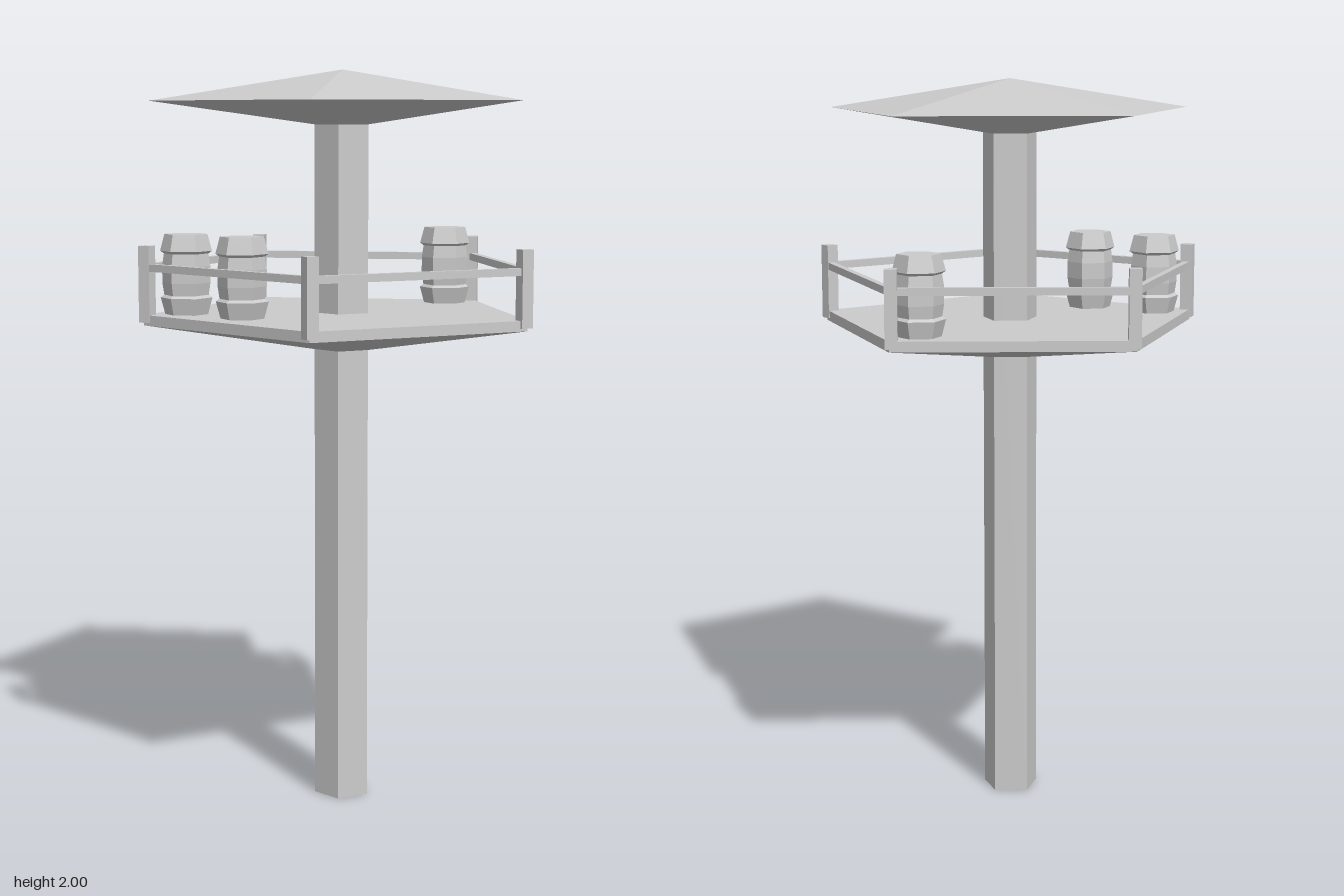
import * as THREE from 'three';

const SIDES = 5;
const STEP = (Math.PI * 2) / SIDES;
const POST_R = 0.53;

const grey = new THREE.MeshStandardMaterial({ color: 0xcccccc, flatShading: true });

function addMesh(parent, name, geometry) {
  const mesh = new THREE.Mesh(geometry, grey);
  mesh.name = name;
  parent.add(mesh);
  return mesh;
}

// Faceted solid of revolution; profile is [radius, height] from bottom to top
function prism(profile, sides, start) {
  return new THREE.LatheGeometry(profile.map(([r, y]) => new THREE.Vector2(r, y)), sides, start);
}

function makeBarrel(x, z) {
  const barrel = new THREE.Group();
  barrel.name = 'barrel';
  // Flared end bands with a slightly bulging body between them
  const profile = [
    [0, 0], [0.058, 0], [0.07, 0.045], [0.06, 0.052], [0.065, 0.085],
    [0.065, 0.13], [0.06, 0.163], [0.07, 0.17], [0.058, 0.215], [0, 0.215],
  ];
  addMesh(barrel, 'barrelBody', prism(profile, 6, 0));
  barrel.position.set(x, 1.35, z);
  return barrel;
}

export function createModel() {
  const model = new THREE.Group();
  model.name = 'watchtower';

  // Five-sided structure, one corner pointing to the back
  const tower = new THREE.Group();
  tower.name = 'tower';
  tower.position.z = 0.05;
  model.add(tower);

  addMesh(tower, 'pole', prism([[0, 0], [0.077, 0], [0.077, 1.87], [0, 1.87]], SIDES, Math.PI));
  addMesh(tower, 'platform', prism(
    [[0, 1.25], [0.077, 1.25], [0.54, 1.322], [0.54, 1.35], [0, 1.35]], SIDES, Math.PI));
  addMesh(tower, 'roof', prism(
    [[0, 1.855], [0.077, 1.855], [0.52, 1.917], [0, 2]], SIDES, Math.PI));

  // Railing: a post on each corner and a bar along each edge
  const postTurns = [-1, 1, 0, 0, -1];
  const edgeLength = 2 * POST_R * Math.sin(STEP / 2);
  const apothem = POST_R * Math.cos(STEP / 2);
  for (let i = 0; i < SIDES; i++) {
    const corner = Math.PI + i * STEP;
    const post = addMesh(tower, 'railPost', new THREE.BoxGeometry(0.033, 0.205, 0.033));
    post.position.set(POST_R * Math.sin(corner), 1.4325, POST_R * Math.cos(corner));
    post.rotation.y = postTurns[i] * STEP / 2;

    const middle = corner + STEP / 2;
    const rail = addMesh(tower, 'rail', new THREE.BoxGeometry(edgeLength, 0.02, 0.018));
    rail.position.set(apothem * Math.sin(middle), 1.477, apothem * Math.cos(middle));
    rail.rotation.y = middle;
  }

  // Barrels standing on the platform
  for (const [x, z] of [[0.4, -0.09], [-0.4, -0.09], [-0.32, 0.095]]) {
    model.add(makeBarrel(x, z));
  }
  return model;
}
